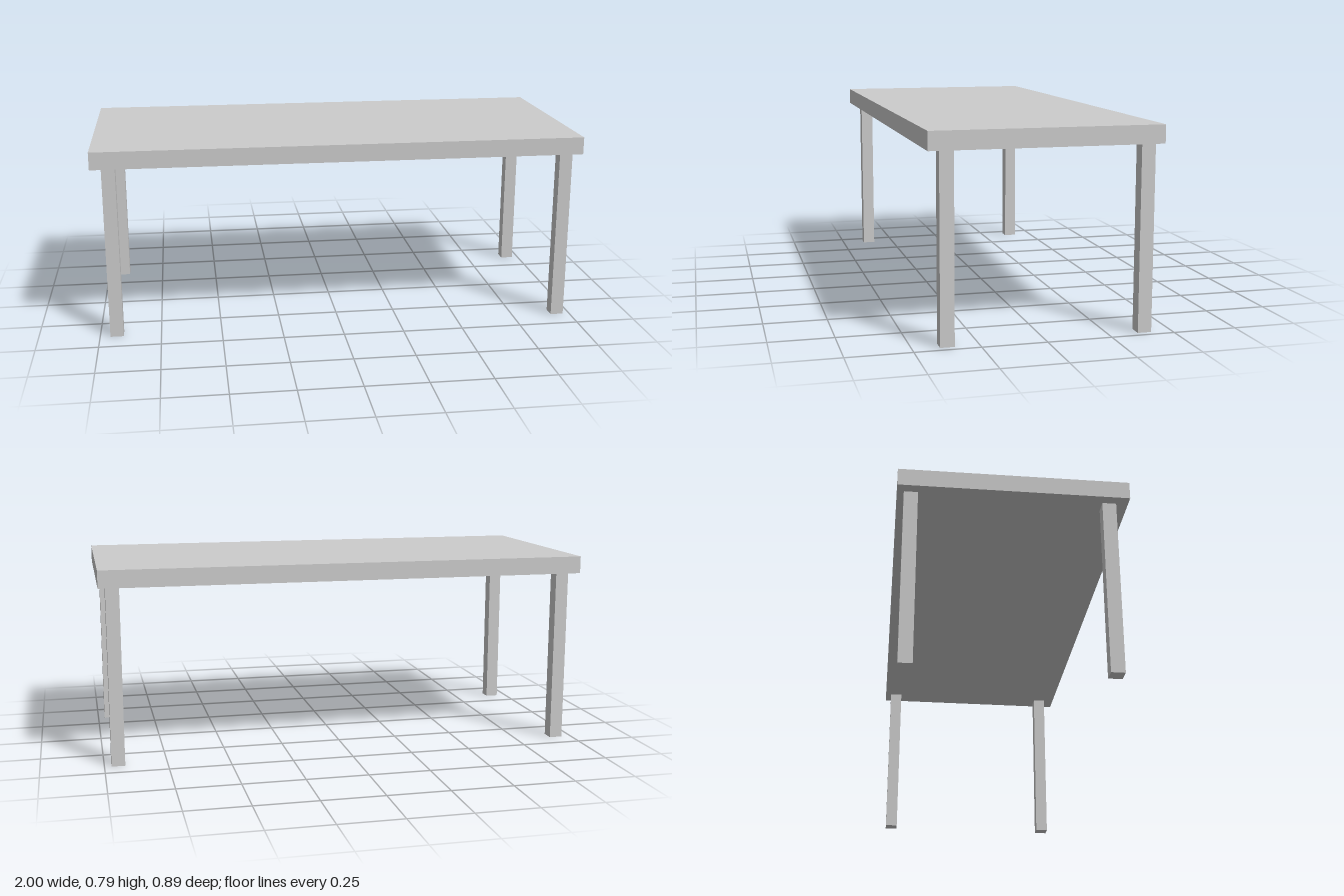
import * as THREE from 'three';

export function createModel() {
  const group = new THREE.Group();
  const material = new THREE.MeshStandardMaterial({ color: 0xcccccc, flatShading: true });

  const addBox = (name, [w, h, d], [x, y, z]) => {
    const mesh = new THREE.Mesh(new THREE.BoxGeometry(w, h, d), material);
    mesh.name = name;
    mesh.position.set(x, y, z);
    group.add(mesh);
  };

  const legHeight = 0.72;
  const legWidth = 0.054;
  const topThickness = 0.071;

  // Thick rectangular slab
  addBox('tableTop', [2, topThickness, 0.888], [0, legHeight + topThickness / 2, 0]);

  // Four square legs, set slightly off centre under the top
  for (const [side, x] of [['Right', -0.931], ['Left', 0.945]]) {
    for (const [end, z] of [['front', 0.371], ['back', -0.391]]) {
      addBox(`${end}${side}Leg`, [legWidth, legHeight, legWidth], [x, legHeight / 2, z]);
    }
  }

  return group;
}
